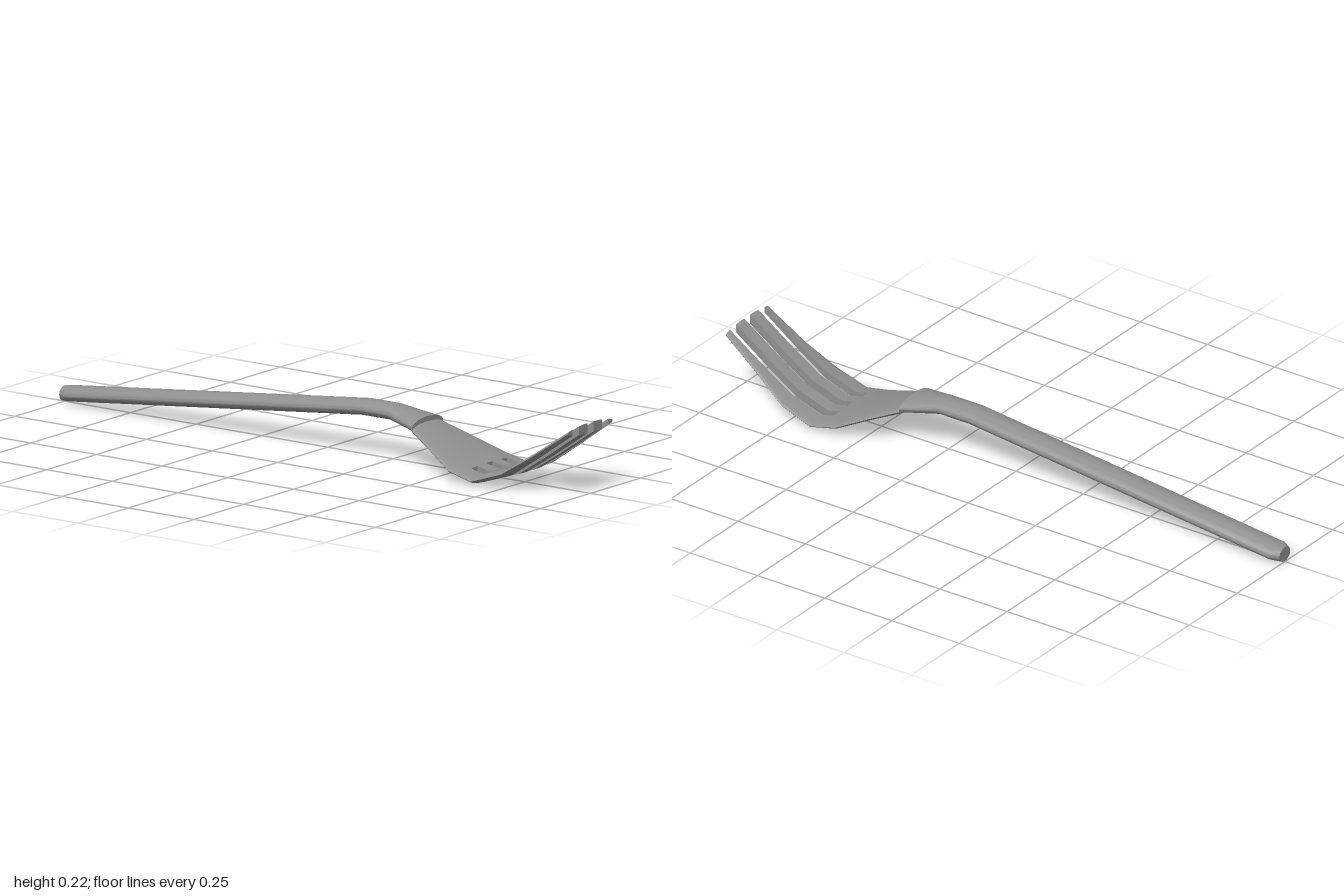
import * as THREE from 'three';
import { toCreasedNormals } from 'three/addons/utils/BufferGeometryUtils.js';

// Stations along the length: [z, centre y, half width, half height] of an ellipse
const HANDLE = [
  [-1, 0.029, 0.028, 0.024], [-0.97, 0.032, 0.047, 0.024], [0.15, 0.152, 0.047, 0.025],
  [0.26, 0.152, 0.047, 0.025], [0.38, 0.13, 0.078, 0.025],
];
const HEAD = [
  [0.38, 0.122, 0.078, 0.017], [0.47, 0.084, 0.11, 0.017], [0.57, 0.039, 0.147, 0.017],
  [0.66, 0.019, 0.152, 0.016], [0.77, 0.056, 0.147, 0.016], [0.87, 0.12, 0.126, 0.016],
  [1, 0.209, 0.112, 0.016],
];
const SLOT_END = 0.615;

// Station interpolated at a given z
function stationAt(list, z) {
  const i = list.findIndex((s) => s[0] >= z);
  const a = list[i - 1], b = list[i], t = (z - a[0]) / (b[0] - a[0]);
  return a.map((v, k) => v + (b[k] - v) * t);
}

// Ellipse section limited to x0..x1, clockwise as seen from +z
function section([z, y, w, h], x0, x1, n) {
  const t0 = Math.acos(Math.max(-1, x0 / w));
  const t1 = Math.acos(Math.min(1, x1 / w));
  const points = [];
  for (const side of [1, -1]) {
    for (let i = 0; i <= n; i++) {
      const k = side > 0 ? i / n : 1 - i / n;
      const t = t0 + (t1 - t0) * k;
      points.push([w * Math.cos(t), y + side * h * Math.sin(t), z]);
    }
  }
  return points;
}

// Closed loft through the sections
function loft(stations, x0 = -1, x1 = 1, n = 14) {
  const rings = stations.map((s) => section(s, x0, x1, n));
  const m = rings[0].length, last = (rings.length - 1) * m, index = [];
  for (let i = 0; i < rings.length - 1; i++) {
    for (let j = 0; j < m; j++) {
      const a = i * m + j, b = i * m + (j + 1) % m;
      index.push(a, a + m, b, b, a + m, b + m);
    }
  }
  for (let j = 1; j < m - 1; j++) {
    index.push(0, j, j + 1, last, last + j + 1, last + j);
  }
  const geometry = new THREE.BufferGeometry();
  geometry.setAttribute('position', new THREE.Float32BufferAttribute(rings.flat(2), 3));
  geometry.setIndex(index);
  return toCreasedNormals(geometry, 0.6);
}

export function createModel() {
  const group = new THREE.Group();
  group.name = 'fork';
  const steel = new THREE.MeshStandardMaterial({ color: 0x909090 });
  steel.name = 'steel grey';
  const add = (name, geometry) => {
    const mesh = new THREE.Mesh(geometry, steel);
    mesh.name = name;
    group.add(mesh);
  };

  // Handle, flaring into the neck
  add('handle', loft(HANDLE));

  // Solid part of the head, up to the slots
  const root = stationAt(HEAD, SLOT_END);
  add('headBase', loft([...HEAD.filter((s) => s[0] < SLOT_END), root]));

  // Four tines, cut from the same curved section
  const tines = [root, ...HEAD.filter((s) => s[0] > SLOT_END)];
  add('innerTineLeft', loft(tines, 0.015, 0.058, 4));
  add('innerTineRight', loft(tines, -0.058, -0.015, 4));
  add('outerTineLeft', loft(tines, 0.09, 1, 6));
  add('outerTineRight', loft(tines, -1, -0.09, 6));

  return group;
}
